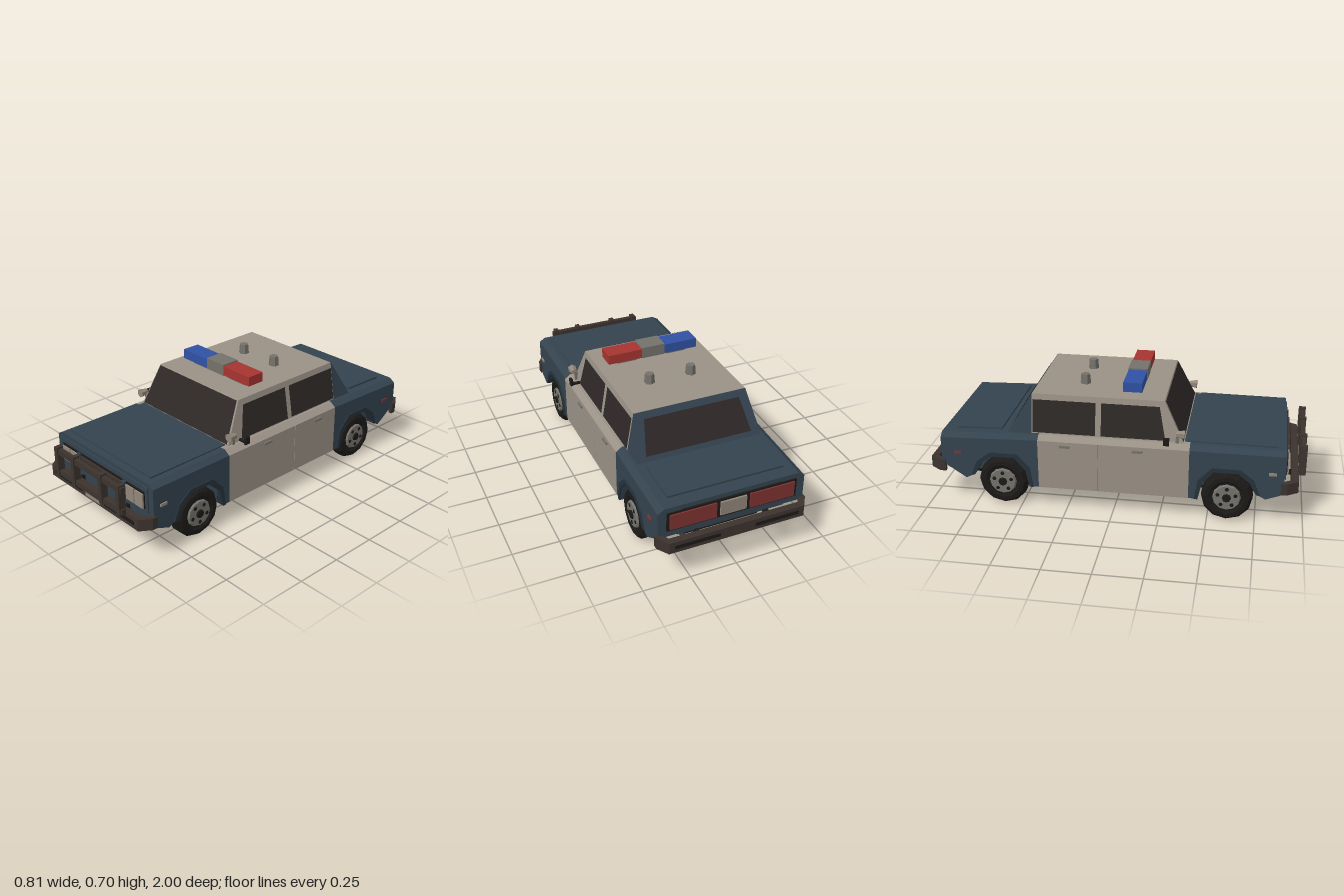
import * as THREE from 'three';

const mat = (color, side = THREE.FrontSide) =>
  new THREE.MeshStandardMaterial({ color, flatShading: true, side });
const NAVY = mat(0x34434f), ARCH = mat(0x26323b), CREAM = mat(0x9a9186), GLASS = mat(0x2e2927, THREE.DoubleSide),
  BLACK = mat(0x1c1a18), TRIM = mat(0x3d332e), RED = mat(0xa63430), BLUE = mat(0x3052a4),
  GREY = mat(0x75726b), LAMP = mat(0x91867a), TAIL = mat(0x7d3230);

const toShape = (pts) => new THREE.Shape(pts.map(([x, y]) => new THREE.Vector2(x, y)));
const slab = (pts, depth) => new THREE.ExtrudeGeometry(toShape(pts), { depth, bevelEnabled: false });

export function createModel() {
  const root = new THREE.Group();
  const add = (name, geo, material) => {
    const m = new THREE.Mesh(geo, material);
    m.name = name;
    root.add(m);
    return m;
  };
  // Box given by its limits on each axis
  const box = (name, x0, x1, y0, y1, z0, z1, material) =>
    add(name, new THREE.BoxGeometry(x1 - x0, y1 - y0, z1 - z0)
      .translate((x0 + x1) / 2, (y0 + y1) / 2, (z0 + z1) / 2), material);
  const boxPair = (name, x0, x1, ...rest) => {
    box(name, x0, x1, ...rest);
    box(name, -x1, -x0, ...rest);
  };
  // Outline in (z, y), extruded across x
  const across = (name, pts, x0, x1, material) =>
    add(name, slab(pts, x1 - x0).rotateY(-Math.PI / 2).translate(x1, 0, 0), material);
  const acrossPair = (name, pts, x0, x1, material) => {
    across(name, pts, x0, x1, material);
    across(name, pts, -x1, -x0, material);
  };
  // Outline in (x, y), extruded along z
  const along = (name, pts, z0, z1, material) =>
    add(name, slab(pts, z1 - z0).translate(0, 0, z0), material);
  // Solid between two four-cornered rings (counter-clockwise seen from the second ring)
  const loft = (name, a, b, material) => {
    const v = [];
    const quad = (p, q, r, s) => v.push(...p, ...q, ...r, ...p, ...r, ...s);
    for (let i = 0; i < 4; i++) {
      const j = (i + 1) % 4;
      quad(a[i], a[j], b[j], b[i]);
    }
    quad(...b);
    quad(a[3], a[2], a[1], a[0]);
    const g = new THREE.BufferGeometry().setAttribute('position', new THREE.Float32BufferAttribute(v, 3));
    g.computeVertexNormals();
    return add(name, g, material);
  };
  // Flat four-cornered pane
  const pane = (name, [p, q, r, s], material) => {
    const g = new THREE.BufferGeometry().setAttribute('position',
      new THREE.Float32BufferAttribute([...p, ...q, ...r, ...p, ...r, ...s], 3));
    g.computeVertexNormals();
    return add(name, g, material);
  };

  // Body core and floor
  across('bodyCore', [[0.885, 0.395], [0.885, 0.18], [0.81, 0.15], [-0.77, 0.15], [-0.925, 0.22], [-0.925, 0.39]],
    -0.288, 0.288, NAVY);
  box('floor', -0.286, 0.286, 0.13, 0.152, -0.76, 0.8, BLACK);
  box('cabinFloor', -0.38, 0.38, 0.13, 0.16, -0.4, 0.4, BLACK);
  along('underTray', [[-0.23, 0.135], [-0.23, 0.11], [-0.215, 0.095], [0.215, 0.095], [0.23, 0.11], [0.23, 0.135]],
    -0.8, 0.82, BLACK);

  // Fenders, wheel arches and wheels
  const inner = [[0.15, 0.17], [0.115, 0.235], [0.055, 0.283], [-0.07, 0.283], [-0.13, 0.215], [-0.15, 0.12]];
  const outer = [[-0.17, 0.12], [-0.152, 0.23], [-0.08, 0.305], [0.063, 0.305], [0.135, 0.25], [0.17, 0.165]];
  for (const s of [1, -1]) {
    const name = s > 0 ? 'front' : 'rear';
    const end = s > 0 ? 0.89 : 0.93, endY = s > 0 ? 0.18 : 0.23, topY = s > 0 ? 0.392 : 0.375;
    const arc = (pts) => pts.map(([u, y]) => [s * (0.6 + u), y]);
    acrossPair(name + 'Fender', [[s * 0.4, 0.12], [s * 0.4, 0.392], [s * end, topY], [s * end, endY],
      [s * 0.8, 0.145], ...arc(inner)], 0.27, 0.395, NAVY);
    acrossPair(name + 'WheelArch', [...arc(inner), ...arc(outer)], 0.36, 0.402, ARCH);
    for (const side of [1, -1]) {
      const wheel = new THREE.Group();
      wheel.name = name + 'Wheel';
      const part = (n, g, m) => {
        const mesh = new THREE.Mesh(g, m);
        mesh.name = n;
        wheel.add(mesh);
      };
      const profile = [[0, -0.048], [0.095, -0.048], [0.118, -0.046], [0.135, -0.025], [0.135, 0.025],
        [0.118, 0.046], [0.095, 0.048], [0.082, 0.04], [0, 0.04]].map(([r, y]) => new THREE.Vector2(r, y));
      part('tyre', new THREE.LatheGeometry(profile, 12), BLACK);
      part('hub', new THREE.CylinderGeometry(0.068, 0.076, 0.012, 12).translate(0, 0.044, 0), GREY);
      part('hubCap', new THREE.CylinderGeometry(0.022, 0.025, 0.012, 8).translate(0, 0.052, 0), BLACK);
      for (let i = 0; i < 5; i++) {
        const a = (i * 2 * Math.PI) / 5;
        part('hubHole', new THREE.CylinderGeometry(0.011, 0.011, 0.006, 6)
          .translate(0.049 * Math.cos(a), 0.049, 0.049 * Math.sin(a)), BLACK);
      }
      wheel.rotation.z = -side * Math.PI / 2;
      wheel.position.set(side * 0.342, 0.135, s * 0.6);
      root.add(wheel);
    }
  }

  // Doors and handles
  boxPair('frontDoor', 0.28, 0.396, 0.12, 0.392, -0.078, 0.4, CREAM);
  boxPair('rearDoor', 0.28, 0.396, 0.12, 0.392, -0.4, -0.08, CREAM);
  for (const z of [0.13, -0.255]) boxPair('doorHandle', 0.39, 0.405, 0.362, 0.374, z - 0.027, z + 0.027, GREY);

  // Upper deck with chamfered shoulders
  const deckRing = (z, low, high) => [[-0.395, low, z], [0.395, low, z], [0.362, high, z], [-0.362, high, z]];
  loft('frontDeck', deckRing(0.4, 0.39, 0.414), deckRing(0.89, 0.39, 0.411), NAVY);
  loft('doorShoulder', deckRing(-0.4, 0.39, 0.414), deckRing(0.4, 0.39, 0.414), CREAM);
  loft('rearDeck', deckRing(-0.93, 0.373, 0.397), deckRing(-0.4, 0.39, 0.414), NAVY);
  box('hood', -0.33, 0.33, 0.405, 0.42, 0.37, 0.85, NAVY);
  const lidRing = (z, y) => [[-0.315, y - 0.02, z], [0.315, y - 0.02, z], [0.315, y, z], [-0.315, y, z]];
  loft('trunkLid', lidRing(-0.86, 0.41), lidRing(-0.61, 0.418), NAVY);

  // Cabin: cream front block and navy rear wedge
  const ring = (y, x, zf, zb) => [[-x, y, zf], [x, y, zf], [x, y, zb], [-x, y, zb]];
  loft('cabin', ring(0.41, 0.348, 0.365, -0.44), ring(0.625, 0.312, 0.26, -0.44), CREAM);
  loft('rearPillars', ring(0.41, 0.348, -0.43, -0.57), ring(0.624, 0.312, -0.43, -0.442), NAVY);

  // Glass, laid just proud of the cabin faces
  const wallX = (y) => 0.351 - (y - 0.41) * 0.167;
  for (const side of [1, -1]) {
    const sidePane = (name, pts) => pane(name, pts.map(([z, y]) => [side * wallX(y), y, z]), GLASS);
    sidePane('frontSideWindow', [[0.27, 0.42], [-0.07, 0.42], [-0.07, 0.595], [0.235, 0.595]]);
    sidePane('rearSideWindow', [[-0.1, 0.42], [-0.435, 0.42], [-0.435, 0.595], [-0.1, 0.595]]);
  }
  const glassEnd = (name, y0, x0, z0, y1, x1, z1) =>
    pane(name, [[-x0, y0, z0], [x0, y0, z0], [x1, y1, z1], [-x1, y1, z1]], GLASS);
  glassEnd('windshield', 0.418, 0.338, 0.365, 0.622, 0.306, 0.2655);
  glassEnd('rearWindow', 0.435, 0.295, -0.559, 0.595, 0.265, -0.464);

  // Light bar and roof beacons
  boxPair('lightBarFoot', 0.09, 0.2, 0.62, 0.648, 0.055, 0.115, GREY);
  box('blueLight', -0.258, -0.065, 0.642, 0.694, 0.035, 0.135, BLUE);
  box('redLight', 0.065, 0.258, 0.642, 0.694, 0.035, 0.135, RED);
  box('lightBarCentre', -0.066, 0.066, 0.64, 0.702, 0.033, 0.137, GREY);
  for (const s of [1, -1]) {
    add('beacon', new THREE.CylinderGeometry(0.024, 0.029, 0.055, 6).translate(s * 0.118, 0.65, -0.19), GREY);
    // Spotlights and door mirrors
    add('spotlight', new THREE.CylinderGeometry(0.025, 0.016, 0.045, 6)
      .rotateX(Math.PI / 2).translate(s * 0.36, 0.466, 0.35), LAMP);
    box('spotlightArm', s * 0.35 - 0.008, s * 0.35 + 0.008, 0.41, 0.466, 0.325, 0.341, GREY);
  }
  boxPair('mirror', 0.39, 0.404, 0.415, 0.455, 0.265, 0.295, BLACK);
  boxPair('mirrorArm', 0.345, 0.395, 0.415, 0.427, 0.273, 0.287, BLACK);

  // Front fascia, grille and headlights
  box('fascia', -0.36, 0.36, 0.25, 0.388, 0.88, 0.897, NAVY);
  box('grilleSurround', -0.34, 0.34, 0.268, 0.362, 0.88, 0.902, BLACK);
  for (const y of [0.283, 0.313, 0.343]) box('grilleSlat', -0.168, 0.168, y - 0.008, y + 0.008, 0.89, 0.912, TRIM);
  boxPair('grilleDivider', 0.176, 0.2, 0.265, 0.362, 0.885, 0.912, NAVY);
  boxPair('innerHeadlight', 0.204, 0.266, 0.27, 0.35, 0.89, 0.91, LAMP);
  boxPair('outerHeadlight', 0.272, 0.336, 0.27, 0.35, 0.89, 0.91, LAMP);
  boxPair('frontMarker', 0.39, 0.402, 0.285, 0.3, 0.81, 0.85, LAMP);

  // Rear fascia and lights
  box('rearFascia', -0.35, 0.35, 0.265, 0.37, -0.936, -0.91, BLACK);
  boxPair('tailLight', 0.09, 0.335, 0.275, 0.36, -0.944, -0.92, TAIL);
  box('rearPlate', -0.07, 0.07, 0.28, 0.358, -0.946, -0.92, LAMP);
  boxPair('rearMarker', 0.39, 0.402, 0.285, 0.3, -0.86, -0.82, TAIL);

  // Bumpers with slots and brackets
  const bumper = [[-0.405, 0.875], [-0.405, 0.905], [-0.365, 0.965], [0.365, 0.965], [0.405, 0.905], [0.405, 0.875],
    [0.385, 0.875], [0.35, 0.928], [-0.35, 0.928], [-0.385, 0.875]];
  for (const s of [1, -1]) {
    const place = (z) => (s > 0 ? z : -z - 0.035);
    const name = s > 0 ? 'front' : 'rear';
    const span = (n, x0, x1, y0, y1, z0, z1, m, f = boxPair) =>
      f(n, x0, x1, y0, y1, Math.min(place(z0), place(z1)), Math.max(place(z0), place(z1)), m);
    add(name + 'Bumper', slab(bumper.map(([x, z]) => [x, place(z)]), 0.063)
      .rotateX(Math.PI / 2).translate(0, 0.245, 0), TRIM);
    span(name + 'BumperSlot', 0.095, 0.335, 0.203, 0.223, 0.95, 0.967, BLACK);
    span(name + 'BumperBracket', 0.18, 0.2, 0.2, 0.225, 0.86, 0.935, BLACK);
  }
  box('frontPlate', -0.061, 0.061, 0.194, 0.23, 0.95, 0.97, LAMP);

  // Push bar
  for (const y of [0.256, 0.377]) box('pushBarRail', -0.28, 0.28, y - 0.015, y + 0.015, 0.968, 0.993, TRIM);
  for (const x of [0.115, 0.258]) boxPair('pushBarPost', x - 0.013, x + 0.013, 0.238, 0.402, 0.962, 1, TRIM);

  // Exhaust
  add('exhaust', new THREE.CylinderGeometry(0.013, 0.013, 0.24, 8).rotateX(Math.PI / 2)
    .translate(0.22, 0.128, -0.81), TRIM);

  return root;
}
